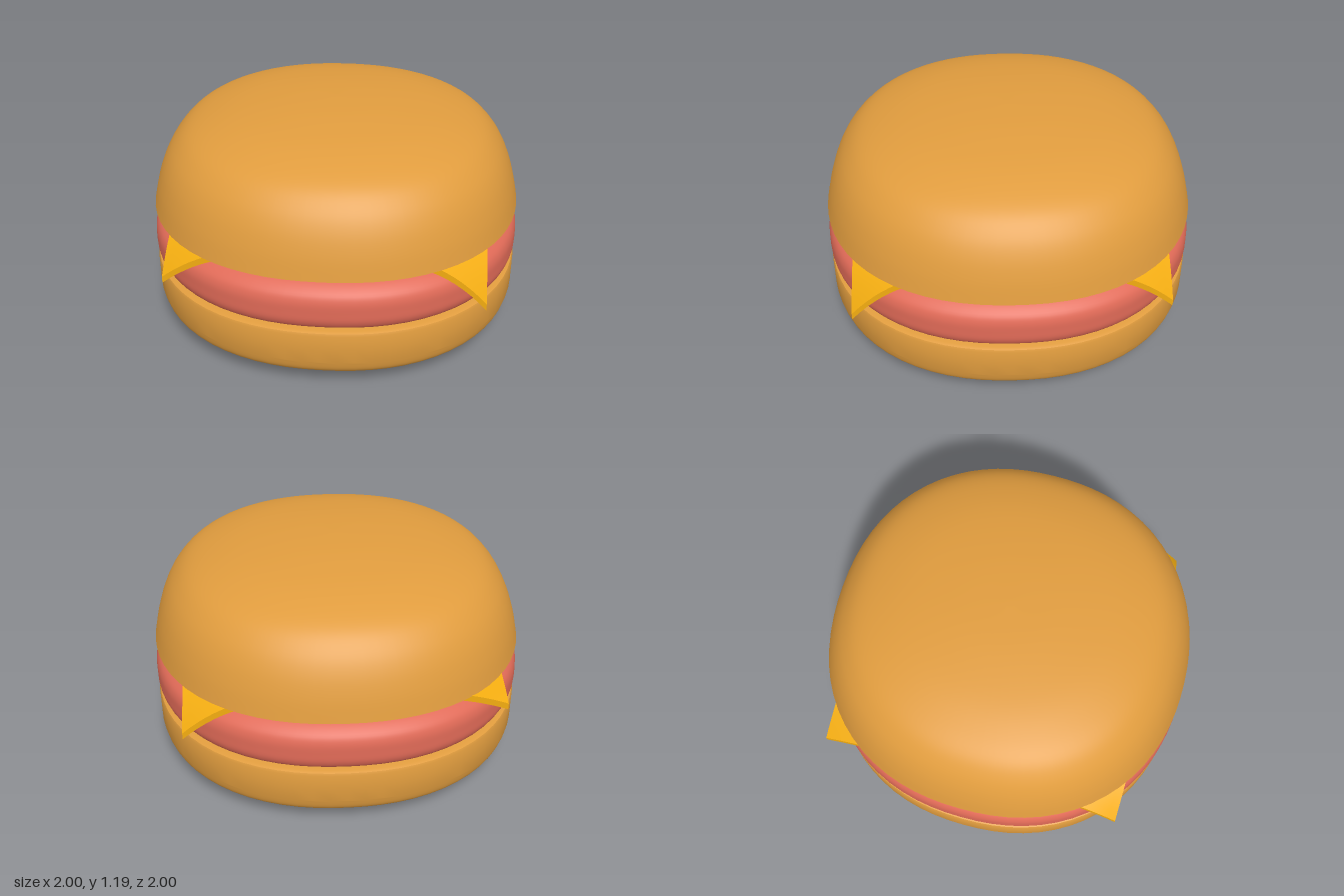
import * as THREE from 'three';
import { mergeVertices, toCreasedNormals } from 'three/addons/utils/BufferGeometryUtils.js';

const BUN = 0xe09c3e, PATTY = 0xe06a57, CHEESE = 0xf2ac10;

const material = (color) => new THREE.MeshStandardMaterial({ color });
const vectors = (points) => points.map(([x, y]) => new THREE.Vector2(x, y));
const smooth = (points, n = 40) => new THREE.SplineCurve(vectors(points)).getPoints(n);

// Lathe whose round outline is pushed slightly towards a square
function layer(name, profile, color) {
  let geometry = new THREE.LatheGeometry(profile, 72);
  const p = geometry.attributes.position;
  const n = 2.2;
  for (let i = 0; i < p.count; i++) {
    const x = p.getX(i), z = p.getZ(i), r = Math.hypot(x, z);
    if (r < 1e-5) continue;
    const k = Math.pow(Math.abs(x / r) ** n + Math.abs(z / r) ** n, -1 / n);
    p.setX(i, x * k);
    p.setZ(i, z * k);
  }
  geometry.deleteAttribute('uv');
  geometry.deleteAttribute('normal');
  geometry = toCreasedNormals(mergeVertices(geometry), 0.7);
  const mesh = new THREE.Mesh(geometry, material(color));
  mesh.name = name;
  return mesh;
}

// Square slice whose four corners sag by different amounts
function cheeseSlice() {
  const size = 1.62, bend = 1.2;
  const geometry = new THREE.BoxGeometry(size, 0.035, size, 40, 1, 40);
  const p = geometry.attributes.position;
  for (let i = 0; i < p.count; i++) {
    const x = p.getX(i), z = p.getZ(i);
    const sag = x > 0 ? (z > 0 ? 0.235 : 0.185) : (z > 0 ? 0.165 : 0.08);
    const t = Math.max(0, (Math.abs(x) + Math.abs(z) - bend) / (size - bend));
    p.setY(i, p.getY(i) + 0.673 - sag * t * t);
  }
  const mesh = new THREE.Mesh(toCreasedNormals(geometry, 0.7), material(CHEESE));
  mesh.name = 'cheeseSlice';
  return mesh;
}

export function createModel() {
  const group = new THREE.Group();
  group.name = 'burger';

  // Bottom bun: rounded underside, straight wall, flat top
  const bottom = [
    ...smooth([[0, 0], [0.3, 0.006], [0.6, 0.022], [0.8, 0.047], [0.92, 0.085], [0.98, 0.13], [1, 0.19]]),
    ...vectors([[1, 0.27], [1, 0.35], [0.995, 0.363], [0.98, 0.37], [0.9, 0.37], [0, 0.37]]),
  ];
  group.add(layer('bottomBun', bottom, BUN));

  // Patty: flat base, bulging rim, slightly domed top
  const patty = [
    ...vectors([[0, 0.365], [0.9, 0.365]]),
    ...smooth([[0.93, 0.368], [0.975, 0.39], [0.997, 0.43], [1, 0.48], [0.996, 0.54], [0.97, 0.585],
      [0.9, 0.625], [0.78, 0.645], [0.5, 0.655], [0, 0.657]]),
  ];
  group.add(layer('patty', patty, PATTY));

  group.add(cheeseSlice());

  // Top bun: flat base with a sharp lower edge and a full dome
  const top = [
    ...vectors([[0, 0.66], [0.5, 0.66], [0.985, 0.66]]),
    ...smooth([[0.992, 0.664], [0.965, 0.78], [0.925, 0.89], [0.87, 0.98], [0.79, 1.055], [0.67, 1.108],
      [0.5, 1.15], [0.25, 1.179], [0, 1.188]]),
  ];
  group.add(layer('topBun', top, BUN));

  return group;
}
